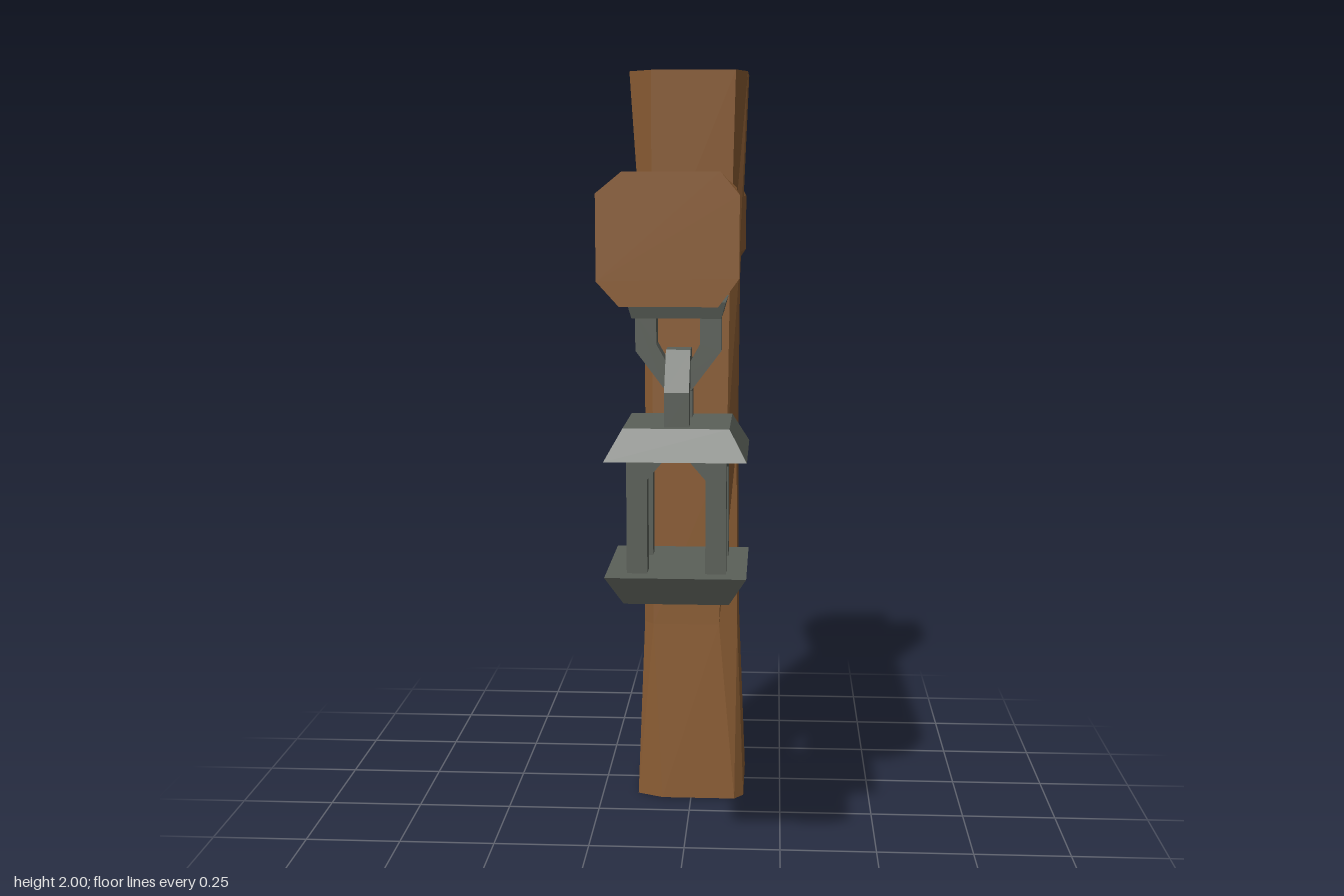
import * as THREE from 'three';

const wood = new THREE.MeshStandardMaterial({ color: 0x8a5c33, flatShading: true, side: THREE.DoubleSide });
wood.name = 'brown wood';
const iron = new THREE.MeshStandardMaterial({ color: 0x5b6059, flatShading: true });
iron.name = 'grey iron';

// Rectangle with its four corners cut off, counter-clockwise; cuts are [cu, cv] pairs
function ring(u0, u1, v0, v1, [a, b, c, d]) {
  return [
    [u0, v0 + a[1]], [u0 + a[0], v0], [u1 - b[0], v0], [u1, v0 + b[1]],
    [u1, v1 - c[1]], [u1 - c[0], v1], [u0 + d[0], v1], [u0, v1 - d[1]],
  ];
}

// Skin through sections [t, u0, u1, v0, v1, cuts]; place maps (u, v, t) to a point
function loft(sections, place, startCap = true) {
  const rings = sections.map(([t, u0, u1, v0, v1, cuts]) =>
    ring(u0, u1, v0, v1, cuts).map(([u, v]) => place(u, v, t)));
  const pos = [];
  const tri = (...pts) => pts.forEach((p) => pos.push(...p));
  const n = 8;
  for (let i = 0; i + 1 < rings.length; i++) {
    for (let j = 0; j < n; j++) {
      const k = (j + 1) % n;
      const [a, b, c, d] = [rings[i][j], rings[i][k], rings[i + 1][k], rings[i + 1][j]];
      tri(a, b, c);
      tri(a, c, d);
    }
  }
  const last = rings[rings.length - 1];
  for (let j = 1; j + 1 < n; j++) {
    tri(last[0], last[j], last[j + 1]);
    if (startCap) tri(rings[0][0], rings[0][j + 1], rings[0][j]);
  }
  const g = new THREE.BufferGeometry();
  g.setAttribute('position', new THREE.Float32BufferAttribute(pos, 3));
  g.computeVertexNormals();
  return g;
}

// Box whose top and bottom rectangles differ: [x0, x1, z0, z1]
function taperedBox(y0, bottom, y1, top) {
  const g = new THREE.BoxGeometry(1, 1, 1);
  const p = g.attributes.position;
  for (let i = 0; i < p.count; i++) {
    const up = p.getY(i) > 0;
    const r = up ? top : bottom;
    p.setXYZ(i, p.getX(i) < 0 ? r[0] : r[1], up ? y1 : y0, p.getZ(i) < 0 ? r[2] : r[3]);
  }
  g.computeVertexNormals();
  return g;
}
const square = (h) => [-h, h, -h, h];

// Half chain link: an angular arch standing on y = 0
function archLink(height) {
  const outline = (w, h, side, flat) => [[-w, 0], [-w, side], [-flat, h], [flat, h], [w, side], [w, 0]];
  const pts = [...outline(0.098, height, height - 0.09, 0.03),
    ...outline(0.05, height - 0.055, height - 0.105, 0.022).reverse()];
  const shape = new THREE.Shape(pts.map(([x, y]) => new THREE.Vector2(x, y)));
  const g = new THREE.ExtrudeGeometry(shape, { depth: 0.056, bevelEnabled: false });
  g.translate(0, 0, -0.028);
  return g;
}

function add(parent, name, geometry, material) {
  const m = new THREE.Mesh(geometry, material);
  m.name = name;
  parent.add(m);
  return m;
}

export function createModel() {
  const model = new THREE.Group();
  model.name = 'lanternPost';

  // Upright post, rough-hewn and open underneath (u = z, v = x)
  // Corner order: back right, front right, front left, back left
  add(model, 'post', loft([
    [0, -0.39, -0.09, -0.15, 0.147, [[0.03, 0.05], [0.03, 0.07], [0.03, 0.025], [0.03, 0.03]]],
    [0.5, -0.37, -0.11, -0.131, 0.127, [[0.03, 0.03], [0.03, 0.026], [0.022, 0.05], [0.036, 0.03]]],
    [1, -0.36, -0.115, -0.127, 0.122, [[0.02, 0.03], [0.02, 0.022], [0.05, 0.025], [0.012, 0.02]]],
    [1.45, -0.357, -0.118, -0.129, 0.125, [[0.02, 0.03], [0.02, 0.022], [0.03, 0.022], [0.008, 0.02]]],
    [2, -0.39, -0.095, -0.167, 0.147, [[0.03, 0.06], [0.06, 0.062], [0.068, 0.03], [0.025, 0.045]]],
  ], (z, x, y) => [x, y, z], false), wood);

  // Cross beam (u = x, v = y), corners: lower right, lower left, upper left, upper right
  add(model, 'beam', loft([
    [-0.69, -0.15, 0.135, 1.465, 1.728, [[0.06, 0.045], [0.03, 0.045], [0.03, 0.06], [0.06, 0.06]]],
    [-0.36, -0.122, 0.116, 1.476, 1.69, [[0.03, 0.03], [0.02, 0.035], [0.015, 0.012], [0.03, 0.03]]],
    [-0.12, -0.122, 0.12, 1.462, 1.712, [[0.02, 0.02], [0.02, 0.015], [0.015, 0.015], [0.02, 0.02]]],
    [0.2, -0.135, 0.128, 1.456, 1.72, [[0.03, 0.03], [0.025, 0.042], [0.03, 0.026], [0.03, 0.025]]],
    [0.685, -0.168, 0.146, 1.445, 1.737, [[0.05, 0.055], [0.046, 0.062], [0.042, 0.05], [0.058, 0.047]]],
  ], (x, y, z) => [x, y, z]), wood);

  // Hanging lantern
  const lantern = new THREE.Group();
  lantern.name = 'lantern';
  lantern.position.set(0.005, 0, 0.53);
  model.add(lantern);

  add(lantern, 'ceilingPlate', taperedBox(1.415, square(0.1), 1.452, square(0.11)), iron);
  const upper = add(lantern, 'upperLink', archLink(0.175), iron);
  upper.position.y = 1.42;
  upper.rotation.z = Math.PI;
  const lower = add(lantern, 'lowerLink', archLink(0.175), iron);
  lower.position.y = 1.163;
  lower.rotation.y = Math.PI / 2;

  add(lantern, 'roof', taperedBox(1.1, square(0.16), 1.17, square(0.12)), iron);
  add(lantern, 'base', taperedBox(0.765, square(0.12), 0.835, square(0.16)), iron);

  // Corner bars, spreading inward under the roof
  for (const sx of [-1, 1]) {
    for (const sz of [-1, 1]) {
      const span = (s, inner) => (s > 0 ? [inner, 0.113] : [-0.113, -inner]);
      const rect = (inner) => [...span(sx, inner), ...span(sz, inner)];
      add(lantern, 'cornerBar', taperedBox(0.83, rect(0.066), 1.052, rect(0.066)), iron);
      add(lantern, 'cornerBrace', taperedBox(1.052, rect(0.066), 1.103, rect(0.022)), iron);
    }
  }
  return model;
}
